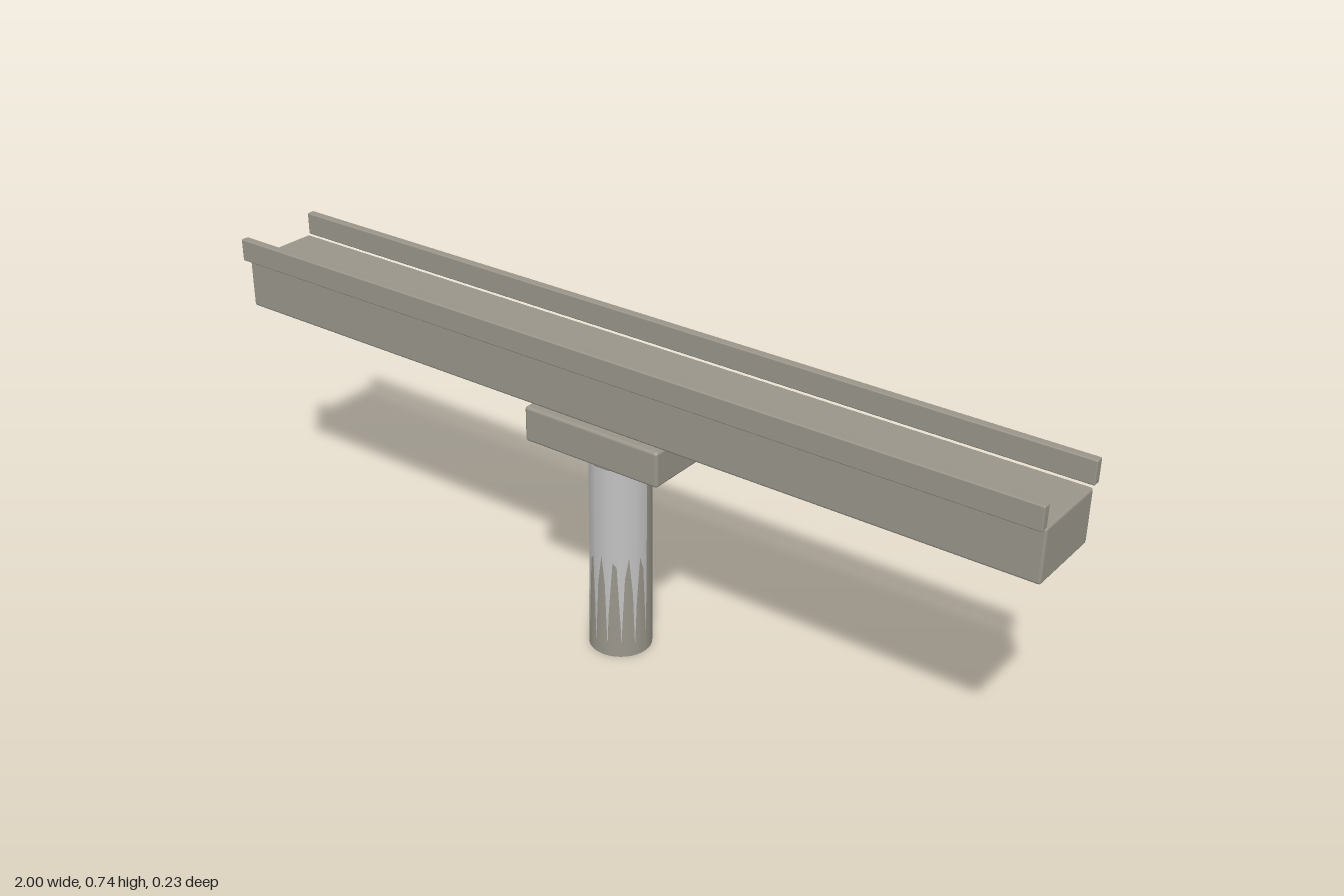
import * as THREE from 'three';
import { RoundedBoxGeometry } from 'three/addons/geometries/RoundedBoxGeometry.js';

export function createModel() {
  const group = new THREE.Group();
  const concrete = new THREE.MeshStandardMaterial({ name: 'concrete', color: 0x99958a });
  const paleGrey = new THREE.MeshStandardMaterial({ name: 'paleGrey', color: 0xc2c2c2, side: THREE.DoubleSide });

  const add = (name, geometry, material, x, y, z) => {
    const mesh = new THREE.Mesh(geometry, material);
    mesh.name = name;
    mesh.position.set(x, y, z);
    group.add(mesh);
  };

  // Box with softened edges, given by its height range
  const block = (name, width, y0, y1, depth, radius, z = 0) =>
    add(name, new RoundedBoxGeometry(width, y1 - y0, depth, 2, radius), concrete, 0, (y0 + y1) / 2, z);

  // Slightly tapered pillar
  add('pillar', new THREE.CylinderGeometry(0.066, 0.07, 0.49, 48), concrete, 0, 0.245, 0);

  // Thin faceted half sleeve on the front of the pillar
  add('pillarFrontSleeve',
    new THREE.CylinderGeometry(0.0697, 0.0697, 0.43, 7, 1, true, -Math.PI / 2, Math.PI),
    paleGrey, 0, 0.247, 0);

  // Pier cap and long deck beam
  block('pierCap', 0.344, 0.488, 0.569, 0.213, 0.007);
  block('deckBeam', 2, 0.571, 0.688, 0.186, 0.006);

  // Parapets along both edges of the deck
  for (const side of [1, -1]) {
    block(side > 0 ? 'frontParapet' : 'backParapet', 2, 0.689, 0.741, 0.019, 0.003, side * 0.1035);
  }
  return group;
}
